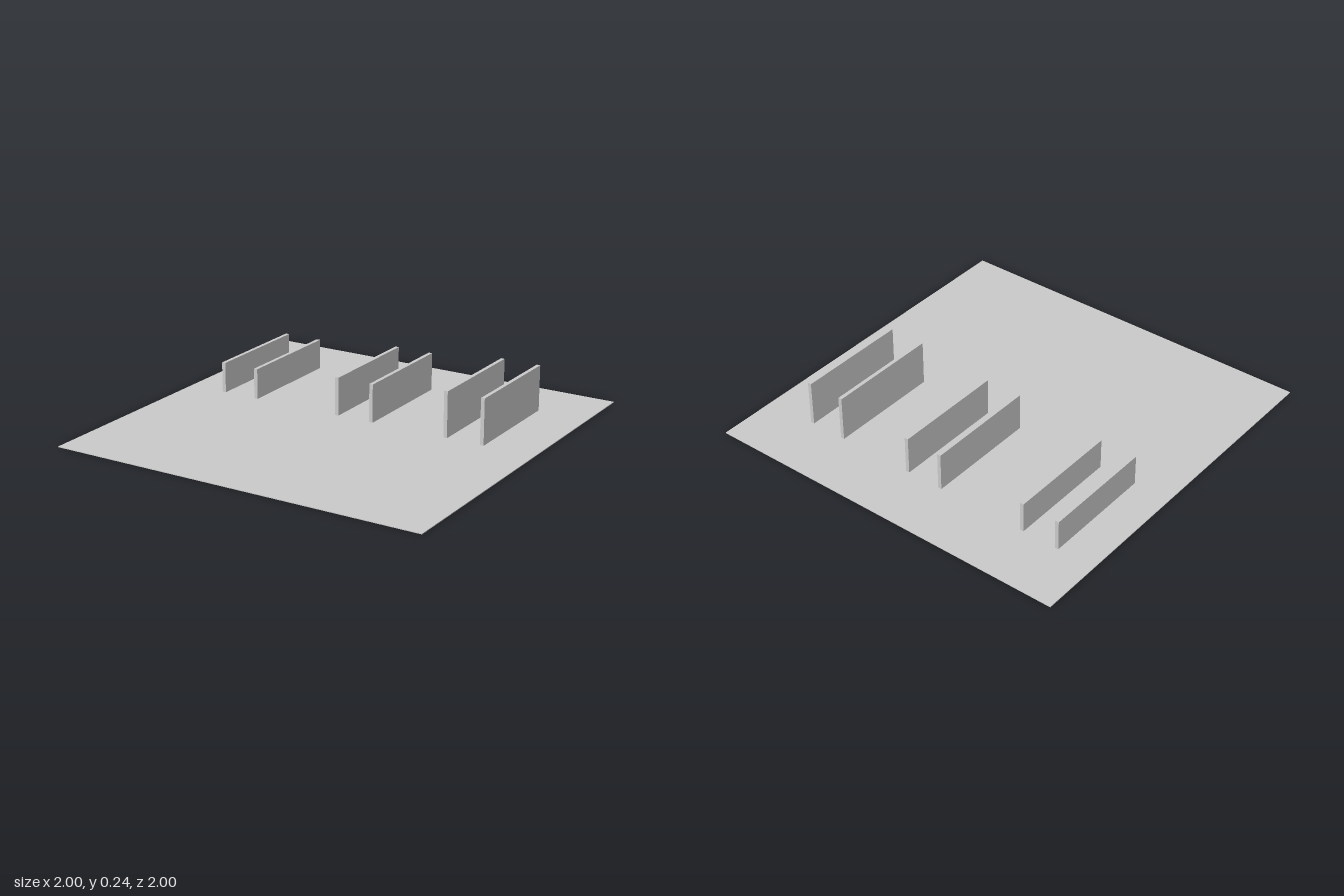
import * as THREE from 'three';

const material = new THREE.MeshStandardMaterial({ color: 0xcccccc, flatShading: true });

// Box standing on height y
function box(name, w, h, d, x, y, z) {
  const mesh = new THREE.Mesh(new THREE.BoxGeometry(w, h, d), material);
  mesh.name = name;
  mesh.position.set(x, y + h / 2, z);
  return mesh;
}

export function createModel() {
  const model = new THREE.Group();
  model.name = 'wallPairsOnFloor';

  // Thin square floor
  const floorThickness = 0.004;
  model.add(box('floor', 2, floorThickness, 2, 0, 0, 0));

  // Three pairs of parallel walls, growing taller towards +x
  const pairs = [
    { name: 'lowWalls', x: -0.69, height: 0.16 },
    { name: 'middleWalls', x: 0, height: 0.2 },
    { name: 'tallWalls', x: 0.62, height: 0.24 },
  ];
  for (const { name, x, height } of pairs) {
    const pair = new THREE.Group();
    pair.name = name;
    pair.position.set(x, floorThickness, -0.378);
    pair.add(box('rightWall', 0.02, height, 0.6, -0.1, 0, 0));
    pair.add(box('leftWall', 0.02, height, 0.6, 0.1, 0, 0));
    model.add(pair);
  }
  return model;
}
